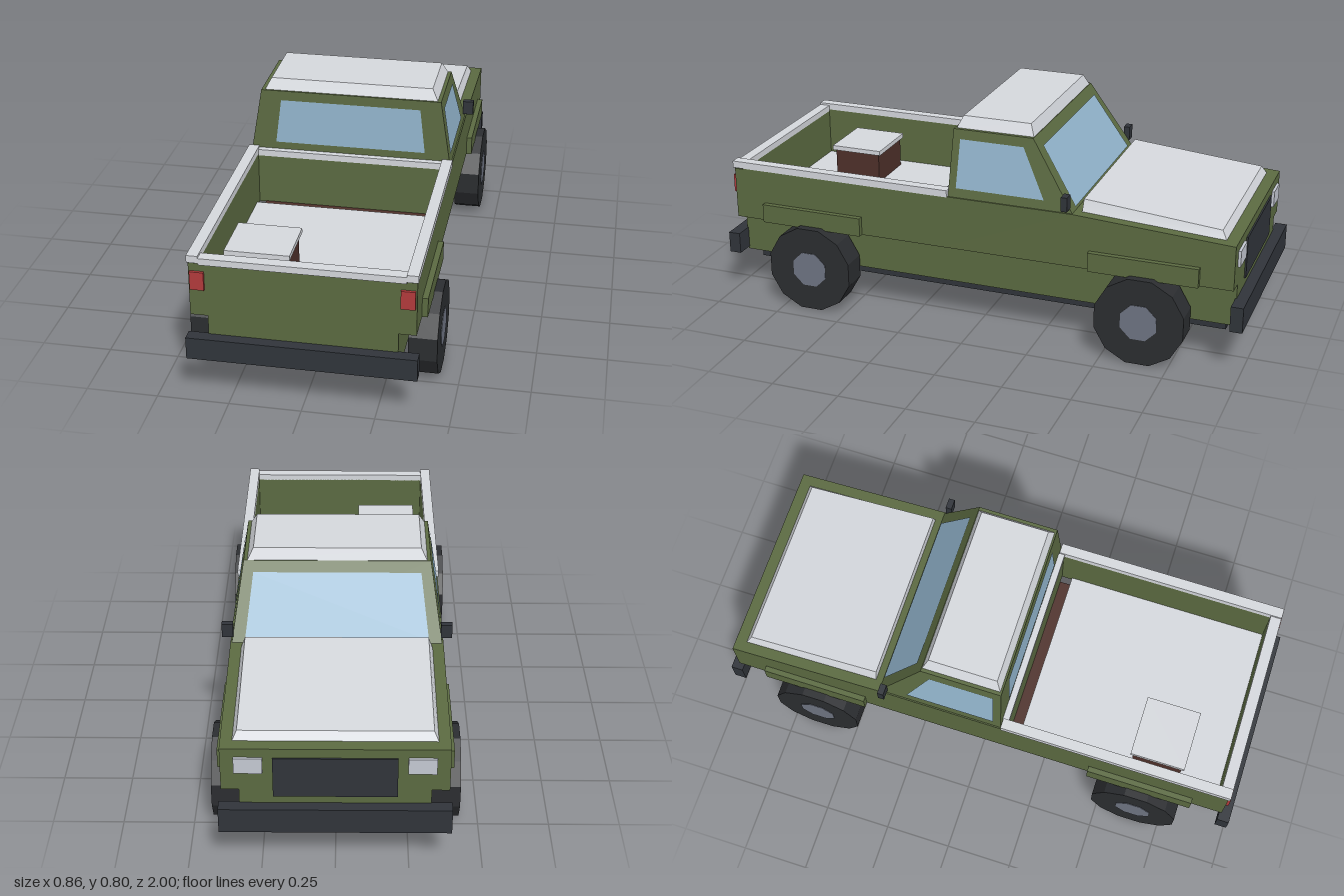
import * as THREE from 'three';

const paint = (color) => new THREE.MeshStandardMaterial({ color });
const GREEN = paint(0x5b6a41), LIGHT = paint(0xd4d7dc), DARK = paint(0x30343a), TYRE = paint(0x2b2d30);
const RIM = paint(0x6e7482), RED = paint(0xb23a3c), BROWN = paint(0x4e302a), LAMP = paint(0xc4c8d2);
const GLASS = paint(0x92b4cc);
GLASS.side = THREE.DoubleSide;

export function createModel() {
  const truck = new THREE.Group();
  truck.name = 'pickupTruck';

  const add = (name, geometry, material) => {
    const mesh = new THREE.Mesh(geometry, material);
    mesh.name = name;
    truck.add(mesh);
    return mesh;
  };

  // Box given by its limits on each axis
  const box = (name, material, [x0, x1], [y0, y1], [z0, z1]) =>
    add(name, new THREE.BoxGeometry(Math.abs(x1 - x0), y1 - y0, z1 - z0)
      .translate((x0 + x1) / 2, (y0 + y1) / 2, (z0 + z1) / 2), material);

  // Tapered block: each end is { x: half width, z: [nose, tail], y: [nose, tail] }
  const taper = (name, material, bottom, top) => {
    const geometry = new THREE.BoxGeometry(2, 2, 2);
    const p = geometry.attributes.position;
    for (let i = 0; i < p.count; i++) {
      const end = p.getY(i) > 0 ? top : bottom;
      const k = p.getZ(i) > 0 ? 1 : 0;
      p.setXYZ(i, Math.sign(p.getX(i)) * end.x, end.y[k], end.z[k]);
    }
    geometry.computeVertexNormals();
    return add(name, geometry, material);
  };

  // Flat four-cornered pane
  const pane = (name, corners) => {
    const geometry = new THREE.BufferGeometry();
    geometry.setAttribute('position', new THREE.Float32BufferAttribute(corners.flat(), 3));
    geometry.setIndex([0, 1, 2, 0, 2, 3]);
    geometry.computeVertexNormals();
    return add(name, geometry, GLASS);
  };

  // Chassis and lower body
  box('chassis', DARK, [-0.28, 0.28], [0.115, 0.16], [-0.92, 0.92]);
  box('lowerBody', GREEN, [-0.32, 0.32], [0.155, 0.315], [-0.96, 0.96]);
  box('rearBumper', DARK, [-0.39, 0.39], [0.165, 0.245], [0.955, 1]);
  box('frontBumper', DARK, [-0.39, 0.39], [0.165, 0.26], [-1, -0.955]);

  // Engine bay and cab base, with the sloping bonnet
  taper('engineBay', GREEN,
    { x: 0.38, z: [-0.96, -0.375], y: [0.315, 0.315] },
    { x: 0.38, z: [-0.96, -0.375], y: [0.48, 0.515] });
  box('cabBase', GREEN, [-0.38, 0.38], [0.315, 0.515], [-0.375, 0.115]);
  taper('bonnetPanel', LIGHT,
    { x: 0.34, z: [-0.918, -0.4], y: [0.482, 0.513] },
    { x: 0.325, z: [-0.9, -0.402], y: [0.512, 0.557] });

  // Cab and roof
  taper('cab', GREEN,
    { x: 0.375, z: [-0.375, 0.095], y: [0.515, 0.515] },
    { x: 0.335, z: [-0.215, 0.085], y: [0.762, 0.762] });
  taper('roof', LIGHT,
    { x: 0.322, z: [-0.213, 0.078], y: [0.762, 0.762] },
    { x: 0.3, z: [-0.195, 0.06], y: [0.803, 0.803] });

  // Windows lie just outside the sloping cab faces
  const rise = (y) => (y - 0.515) / 0.247;
  const sideX = (y) => 0.378 - 0.04 * rise(y);
  const tailZ = (y) => 0.098 - 0.01 * rise(y);
  const noseZ = (y) => -0.379 + 0.16 * rise(y);
  const endPane = (name, z, y0, x0, y1, x1) => pane(name,
    [[-x0, y0, z(y0)], [x0, y0, z(y0)], [x1, y1, z(y1)], [-x1, y1, z(y1)]]);
  endPane('rearWindow', tailZ, 0.56, 0.28, 0.727, 0.26);
  endPane('windscreen', noseZ, 0.525, 0.328, 0.728, 0.3);

  // Bed: front wall is the cab base, then floor, sides, tailgate and rails
  box('bedFloor', LIGHT, [-0.345, 0.345], [0.315, 0.33], [0.155, 0.925]);
  box('bedGapLiner', BROWN, [-0.32, 0.32], [0.31, 0.318], [0.115, 0.155]);
  box('tailgate', GREEN, [-0.38, 0.38], [0.315, 0.51], [0.925, 0.96]);
  box('tailgateRail', LIGHT, [-0.345, 0.345], [0.508, 0.532], [0.925, 0.966]);
  box('bedFrontRail', LIGHT, [-0.345, 0.345], [0.508, 0.532], [0.09, 0.118]);

  // Crate with lid in the bed
  box('crate', BROWN, [-0.3, -0.09], [0.33, 0.447], [0.585, 0.77]);
  box('crateLid', LIGHT, [-0.308, -0.08], [0.447, 0.465], [0.575, 0.78]);

  // Grille
  box('grille', DARK, [-0.207, 0.207], [0.29, 0.445], [-0.966, -0.95]);

  // Parts mirrored on both sides
  for (const s of [-1, 1]) {
    const side = s > 0 ? 'left' : 'right';
    const span = (a, b) => (s > 0 ? [a, b] : [-b, -a]);
    box(side + 'BedWall', GREEN, span(0.345, 0.38), [0.315, 0.515], [0.115, 0.925]);
    box(side + 'BedRail', LIGHT, span(0.345, 0.384), [0.514, 0.54], [0.097, 0.966]);
    box(side + 'TailLight', RED, span(0.327, 0.375), [0.415, 0.482], [0.95, 0.97]);
    box(side + 'Headlight', LAMP, span(0.24, 0.335), [0.387, 0.447], [-0.97, -0.95]);
    box(side + 'Mirror', DARK, span(0.37, 0.41), [0.533, 0.586], [-0.366, -0.343]);
    pane(side + 'Window', [[0.065, 0.55], [0.057, 0.728], [-0.182, 0.728], [-0.268, 0.55]]
      .map(([z, y]) => [s * sideX(y), y, z]));

    for (const z of [-0.64, 0.64]) {
      const end = z > 0 ? 'Rear' : 'Front';
      box(side + end + 'Flare', GREEN, span(0.375, 0.4), [0.315, 0.386], [z - 0.2, z + 0.2]);

      // Twelve-sided tyre and eight-sided hub, resting on a flat side
      const disc = (name, r, sides, width, x, material) => {
        const geometry = new THREE.CylinderGeometry(r, r, width, sides)
          .rotateY(Math.PI / sides).rotateZ(Math.PI / 2).toNonIndexed();
        geometry.computeVertexNormals();
        add(name, geometry, material).position.set(s * x, 0.162, z);
      };
      disc(side + end + 'Tyre', 0.1677, 12, 0.1, 0.38, TYRE);
      disc(side + end + 'Hub', 0.071, 8, 0.08, 0.392, RIM);
    }
  }
  return truck;
}
